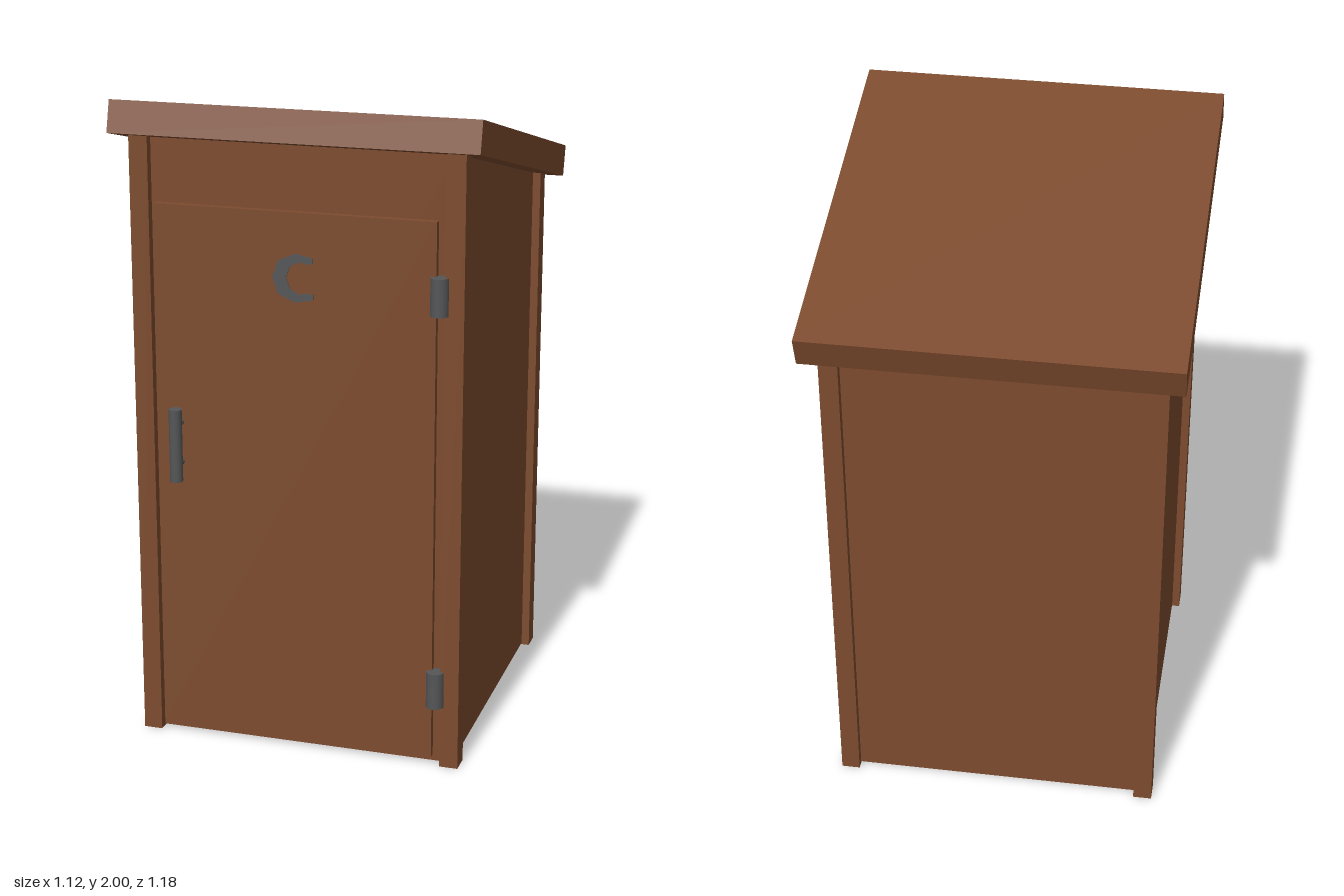
import * as THREE from 'three';

const wood = new THREE.MeshStandardMaterial({ color: 0x7d4b2f });
wood.name = 'brownWood';
const iron = new THREE.MeshStandardMaterial({ color: 0x555657 });
iron.name = 'greyIron';

// height of the sloping roof's underside at depth z
const roofY = (z) => 1.76 + 0.2504 * z;

export function createModel() {
  const model = new THREE.Group();
  model.name = 'outhouse';

  const add = (name, geometry, material, x = 0, y = 0, z = 0) => {
    const mesh = new THREE.Mesh(geometry, material);
    mesh.name = name;
    mesh.position.set(x, y, z);
    model.add(mesh);
    return mesh;
  };

  // a (z, y) side profile extruded across x0..x1
  const sideProfile = (points, x0, x1) => {
    const shape = new THREE.Shape(points.map(([z, y]) => new THREE.Vector2(z, y)));
    return new THREE.ExtrudeGeometry(shape, { depth: x1 - x0, bevelEnabled: false })
      .rotateY(-Math.PI / 2)
      .translate(x1, 0, 0);
  };

  // upright block whose top is cut along the roof slope
  const upright = (name, x0, x1, z0, z1, y0) =>
    add(name, sideProfile([[z0, y0], [z1, y0], [z1, roofY(z1)], [z0, roofY(z0)]], x0, x1), wood);

  // corner posts
  for (const [side, x0, x1] of [['right', -0.51, -0.452], ['left', 0.452, 0.51]]) {
    upright(side + 'FrontPost', x0, x1, 0.47, 0.535, 0);
    upright(side + 'BackPost', x0, x1, -0.51, -0.445, 0);
  }

  // thin wall panels set back between the posts
  upright('leftWall', 0.475, 0.485, -0.46, 0.485, 0.005);
  upright('rightWall', -0.485, -0.475, -0.46, 0.485, 0.005);
  upright('frontWall', -0.47, 0.47, 0.498, 0.508, 0.005);
  upright('backWall', -0.47, 0.47, -0.485, -0.475, 0.005);

  // slanted slab roof
  add('roof', sideProfile([[-0.56, 1.62], [0.578, 1.905], [0.553, 2.0], [-0.588, 1.715]], -0.56, 0.56), wood);

  // door
  add('door', new THREE.BoxGeometry(0.865, 1.67, 0.03), wood, -0.0075, 0.86, 0.515);

  // hinges
  for (const y of [0.255, 1.478]) {
    add('hinge', new THREE.CylinderGeometry(0.028, 0.028, 0.114, 12), iron, 0.436, y, 0.533);
  }

  // handle bar and its two pegs
  add('handleBar', new THREE.CylinderGeometry(0.02, 0.02, 0.228, 12), iron, -0.368, 0.964, 0.573);
  for (const y of [0.9, 1.025]) {
    const peg = new THREE.CylinderGeometry(0.011, 0.011, 0.05, 8).rotateX(Math.PI / 2);
    add('handlePeg', peg, iron, -0.368, y, 0.549);
  }

  // crescent plate on the door: upper half mirrored to the lower half
  const outer = [[0.055, 0.062], [0.0, 0.073], [-0.052, 0.05], [-0.07, 0]];
  const inner = [[-0.028, 0], [-0.015, 0.034], [0.012, 0.049], [0.035, 0.044], [0.055, 0.047]];
  const flip = (list) => list.map(([x, y]) => [x, -y]).reverse();
  const crescent = [...outer, ...flip(outer).slice(1), ...flip(inner), ...inner.slice(1)];
  add('crescent', new THREE.ExtrudeGeometry(
    new THREE.Shape(crescent.map(([x, y]) => new THREE.Vector2(x, y))),
    { depth: 0.006, bevelEnabled: false }
  ), iron, 0, 1.5, 0.528);

  return model;
}
